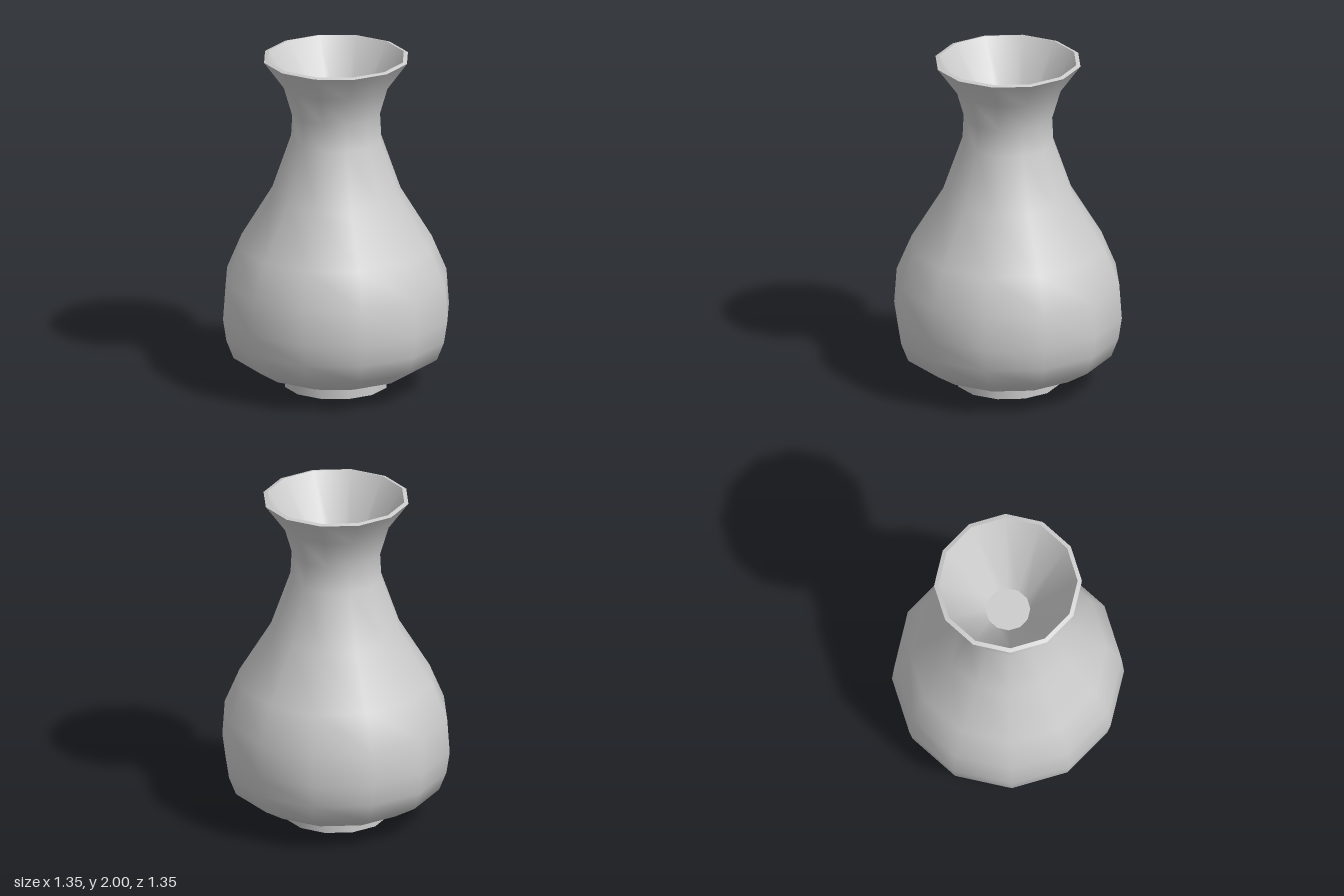
import * as THREE from 'three';

const SIDES = 12;

export function createModel() {
  const vase = new THREE.Group();
  vase.name = 'vase';
  const material = new THREE.MeshStandardMaterial({ color: 0xcccccc });

  // Each surface is its own lathe, so edges between surfaces stay sharp.
  const addLathe = (name, profile) => {
    const points = profile.map(([r, y]) => new THREE.Vector2(r, y));
    const mesh = new THREE.Mesh(new THREE.LatheGeometry(points, SIDES), material);
    mesh.name = name;
    vase.add(mesh);
  };

  // Flat disc, facing up or down
  const addDisc = (name, radius, y, facing) => {
    const geometry = new THREE.CircleGeometry(radius, SIDES);
    geometry.rotateX(-facing * Math.PI / 2);
    const mesh = new THREE.Mesh(geometry, material);
    mesh.position.y = y;
    mesh.name = name;
    vase.add(mesh);
  };

  // Foot ring and its underside
  addDisc('footBase', 0.305, 0, -1);
  addLathe('foot', [[0.305, 0], [0.305, 0.055]]);

  // Rounded belly, narrow neck and flared mouth
  addLathe('body', [
    [0.305, 0.055], [0.465, 0.11], [0.612, 0.2], [0.655, 0.31],
    [0.675, 0.44], [0.66, 0.65], [0.572, 0.86], [0.385, 1.17],
    [0.27, 1.5], [0.262, 1.66], [0.312, 1.83], [0.43, 1.993],
  ]);

  // Thin lip, sloping slightly outward
  addLathe('rim', [[0.43, 1.993], [0.405, 2]]);

  // Funnel-shaped hollow with a small flat floor
  addLathe('innerWall', [[0.405, 2], [0.13, 1.55]]);
  addDisc('innerFloor', 0.13, 1.55, 1);

  return vase;
}
